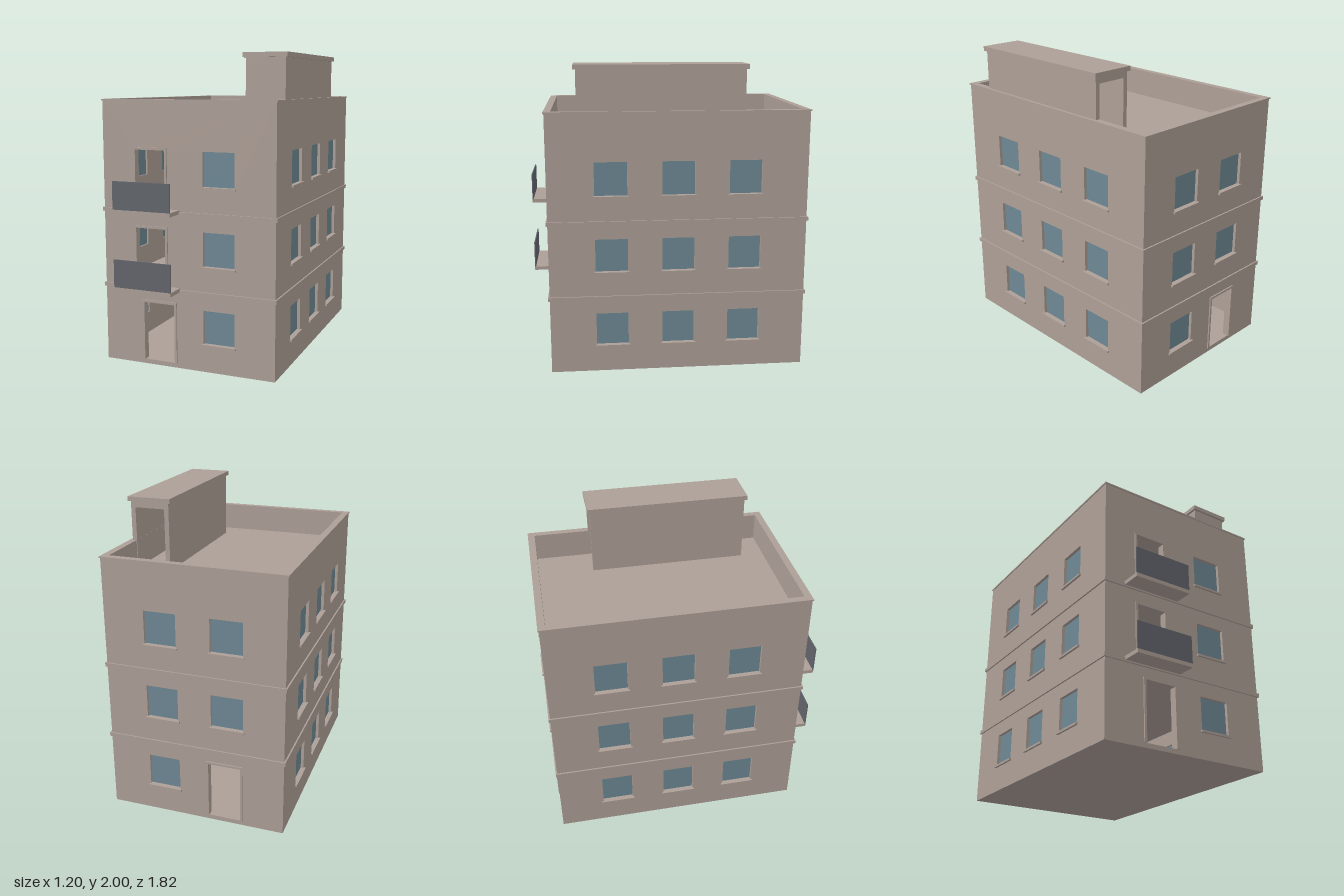
import * as THREE from 'three';

const wallMat = new THREE.MeshStandardMaterial({ color: 0xad9f97 });
wallMat.name = 'plaster';
const glassMat = new THREE.MeshStandardMaterial({ color: 0x6e8894 });
glassMat.name = 'window glass';
const panelMat = new THREE.MeshStandardMaterial({ color: 0x62656c });
panelMat.name = 'balcony panel';

const T = 0.04; // wall thickness
const HW = 0.587, HD = 0.836, CZ = -0.058; // half width, half depth, centre z
const H = 1.71, STOREY = 0.5, SLAB = 0.03;

function add(parent, name, geometry, material = wallMat) {
  const mesh = new THREE.Mesh(geometry, material);
  mesh.name = name;
  parent.add(mesh);
  return mesh;
}

// box given by its limits
function box(parent, name, x0, x1, y0, y1, z0, z1, material) {
  const g = new THREE.BoxGeometry(x1 - x0, y1 - y0, z1 - z0);
  g.translate((x0 + x1) / 2, (y0 + y1) / 2, (z0 + z1) / 2);
  return add(parent, name, g, material);
}

function rectPoints(x0, x1, y0, y1) {
  return [[x0, y0], [x1, y0], [x1, y1], [x0, y1]].map(p => new THREE.Vector2(...p));
}

// rectangle with rectangular holes, extruded along z
function plate(x0, x1, y0, y1, holes, depth) {
  const shape = new THREE.Shape(rectPoints(x0, x1, y0, y1));
  for (const h of holes) shape.holes.push(new THREE.Path(rectPoints(...h)));
  return new THREE.ExtrudeGeometry(shape, { depth, bevelEnabled: false });
}

// horizontal ring around the building
function ring(parent, name, out, y0, y1) {
  const a = HW + out, b = HD + out, i = HW - T, j = HD - T;
  const g = plate(-a, a, -b, b, [[-i, i, -j, j]], y1 - y0);
  g.rotateX(-Math.PI / 2).translate(0, y0, CZ);
  add(parent, name, g);
}

// wall with its outer face on local z = 0, plus its windows and doors
function facade(parent, name, half, windows, doors) {
  const wall = new THREE.Group();
  wall.name = name;
  parent.add(wall);
  const openings = windows.map(([x, floor]) => {
    const y = floor * STOREY;
    return [x - 0.105, x + 0.105, y + 0.18, y + 0.4];
  });
  const g = plate(-half, half, 0, H, [...openings, ...doors], T);
  g.translate(0, 0, -T);
  add(wall, 'wall', g);
  for (const [x0, x1, y0, y1] of openings) {
    box(wall, 'windowGlass', x0, x1, y0, y1, -0.028, -0.02, glassMat);
    box(wall, 'windowSill', x0 - 0.01, x1 + 0.01, y0 - 0.012, y0 + 0.002, -0.02, 0.014);
  }
  // door surrounds: two jambs and a head
  const f = 0.015;
  for (const [x0, x1, y0, y1] of doors) {
    box(wall, 'doorJamb', x0 - f, x0, y0, y1, -0.02, 0.009);
    box(wall, 'doorJamb', x1, x1 + f, y0, y1, -0.02, 0.009);
    box(wall, 'doorHead', x0 - f, x1 + f, y1, y1 + f, -0.02, 0.009);
  }
  return wall;
}

export function createModel() {
  const building = new THREE.Group();
  building.name = 'apartmentBuilding';

  // floors and roof deck
  for (let i = 0; i < 4; i++) {
    box(building, i < 3 ? 'floorSlab' : 'roofDeck', -HW + T, HW - T,
      i * STOREY, i * STOREY + SLAB, CZ - HD + T, CZ + HD - T);
  }

  // front wall with entrance and balcony doors
  const entrance = [-0.304, -0.09, SLAB, 0.415];
  const balconyDoors = [1, 2].map(i => [-0.354, -0.149, i * STOREY + SLAB, i * STOREY + 0.4]);
  const front = facade(building, 'frontWall', HW,
    [0, 1, 2].map(i => [0.215, i]), [entrance, ...balconyDoors]);
  front.position.z = CZ + HD;

  // back wall, mirrored in local x
  const back = facade(building, 'backWall', HW,
    [[-0.215, 0], [-0.215, 1], [0.215, 1], [-0.215, 2], [0.215, 2]],
    [[0.09, 0.304, SLAB, 0.415]]);
  back.rotation.y = Math.PI;
  back.position.z = CZ - HD;

  // side walls
  const sideWindows = [];
  for (const x of [-0.432, 0, 0.432]) for (let i = 0; i < 3; i++) sideWindows.push([x, i]);
  for (const s of [1, -1]) {
    const side = facade(building, s > 0 ? 'leftWall' : 'rightWall', HD - T, sideWindows, []);
    side.rotation.y = s * Math.PI / 2;
    side.position.set(s * HW, 0, CZ);
  }

  // string courses and parapet coping
  ring(building, 'stringCourse', 0.01, 0.495, 0.52);
  ring(building, 'stringCourse', 0.01, 0.995, 1.02);
  ring(building, 'parapetCoping', 0.006, 1.705, 1.715);

  // balconies
  for (const i of [1, 2]) {
    const y = i * STOREY;
    const balcony = new THREE.Group();
    balcony.name = 'balcony';
    building.add(balcony);
    box(balcony, 'balconySlab', -0.45, -0.05, y + 0.005, y + SLAB, 0.77, 0.912);
    box(balcony, 'balconyPanel', -0.45, -0.05, y + SLAB, y + 0.21, 0.905, 0.912, panelMat);
  }

  // stair house on the roof, open through a doorway at the back
  const stair = new THREE.Group();
  stair.name = 'stairHouse';
  building.add(stair);
  const x0 = 0.315, x1 = 0.573, z0 = -0.48, z1 = 0.58, y0 = 1.53, y1 = 1.97, t = 0.025;
  box(stair, 'stairHouseSide', x0, x0 + t, y0, y1, z0 + t, z1 - t);
  box(stair, 'stairHouseSide', x1 - t, x1, y0, y1, z0 + t, z1 - t);
  box(stair, 'stairHouseFront', x0, x1, y0, y1, z1 - t, z1);
  const end = plate(x0, x1, y0, y1, [[x0 + 0.03, x1 - 0.03, y0 + 0.002, 1.93]], t);
  end.translate(0, 0, z0);
  add(stair, 'stairHouseDoorway', end);
  box(stair, 'stairHouseRoof', 0.3, 0.588, y1, 2, z0 - 0.015, z1 + 0.015);

  return building;
}
